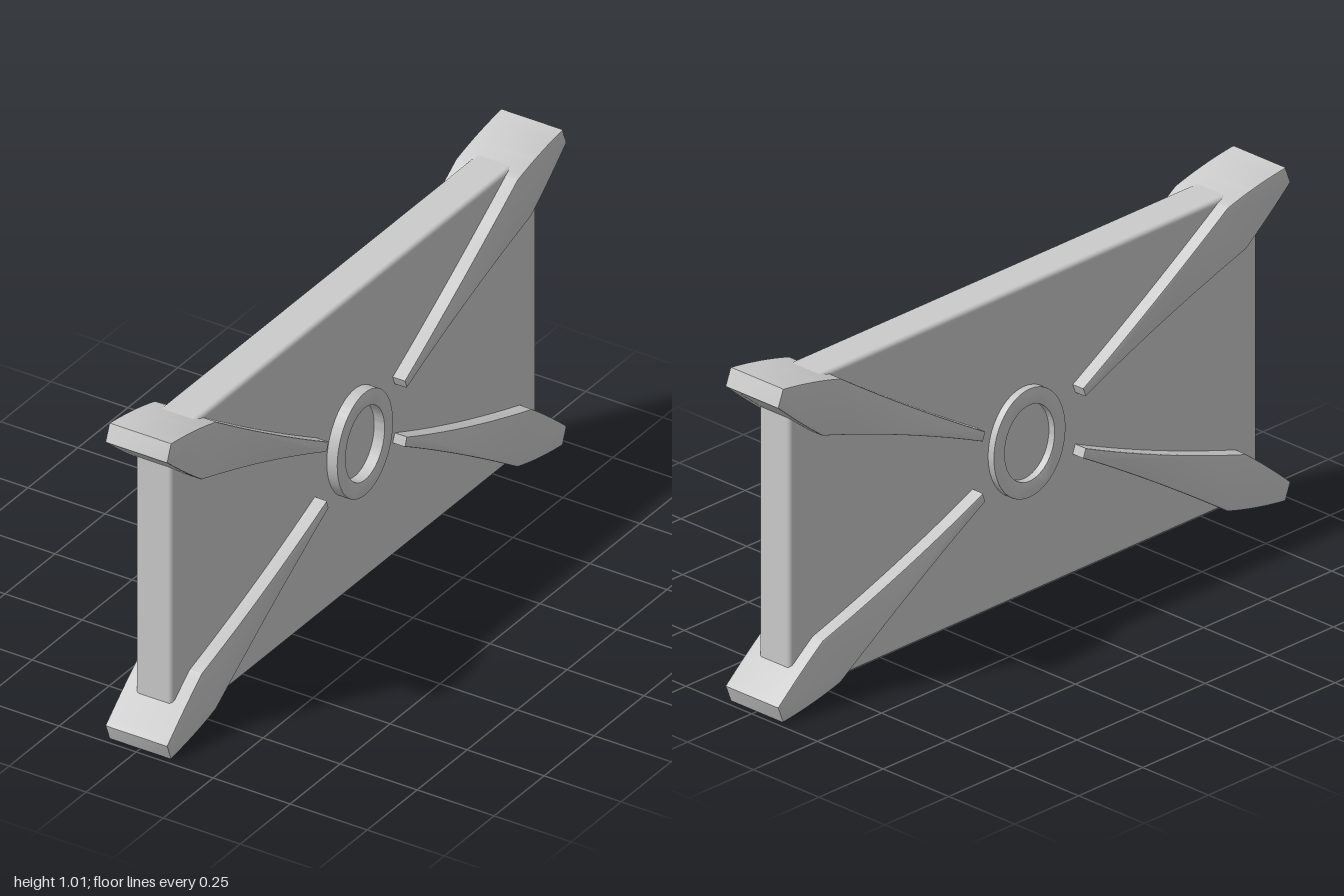
import * as THREE from 'three';
import { toCreasedNormals } from 'three/addons/utils/BufferGeometryUtils.js';
import { RoundedBoxGeometry } from 'three/addons/geometries/RoundedBoxGeometry.js';

const CENTER_Y = 0.505;

export function createModel() {
  const group = new THREE.Group();
  const material = new THREE.MeshStandardMaterial({ color: 0xcccccc });

  const add = (name, geometry, x = 0) => {
    const mesh = new THREE.Mesh(geometry, material);
    mesh.name = name;
    mesh.position.set(x, CENTER_Y, 0);
    group.add(mesh);
  };

  // Extrudes a (z, y) outline across x, centred, with a fine edge bevel
  const extrudeAcross = (shape, width, bevel, curveSegments) => {
    const geometry = new THREE.ExtrudeGeometry(shape, {
      depth: width - 2 * bevel, bevelThickness: bevel, bevelSize: bevel,
      bevelOffset: -bevel, bevelSegments: 2, curveSegments,
    });
    geometry.translate(0, 0, bevel - width / 2).rotateY(-Math.PI / 2);
    return toCreasedNormals(geometry, 0.45);
  };

  // Flat body panel
  add('panel', new RoundedBoxGeometry(0.122, 0.936, 1.824, 3, 0.014));

  // Four tapering corner braces, mirrored in z and y
  for (const sz of [1, -1]) {
    for (const sy of [1, -1]) {
      const p = (z, y) => [sz * z, sy * (y - CENTER_Y)];
      const shape = new THREE.Shape();
      shape.moveTo(...p(0.98, 1.008));
      shape.quadraticCurveTo(...p(0.86, 0.994), ...p(0.755, 0.963));
      shape.quadraticCurveTo(...p(0.46, 0.765), ...p(0.19, 0.61));
      shape.lineTo(...p(0.2, 0.583));
      shape.quadraticCurveTo(...p(0.5, 0.715), ...p(0.825, 0.814));
      shape.quadraticCurveTo(...p(0.91, 0.877), ...p(1.0, 0.957));
      shape.closePath();
      const name = (sy > 0 ? 'upper' : 'lower') + (sz > 0 ? 'Front' : 'Back') + 'Brace';
      add(name, extrudeAcross(shape, 0.202, 0.004, 10));
    }
  }

  // Oval hub ring standing proud of both faces
  const ring = new THREE.Shape();
  ring.absellipse(0, 0, 0.14, 0.164, 0, Math.PI * 2);
  const hole = new THREE.Path();
  hole.absellipse(0, 0, 0.097, 0.114, 0, Math.PI * 2, true);
  ring.holes.push(hole);
  add('hubRing', extrudeAcross(ring, 0.178, 0.002, 48), 0.006);

  return group;
}
